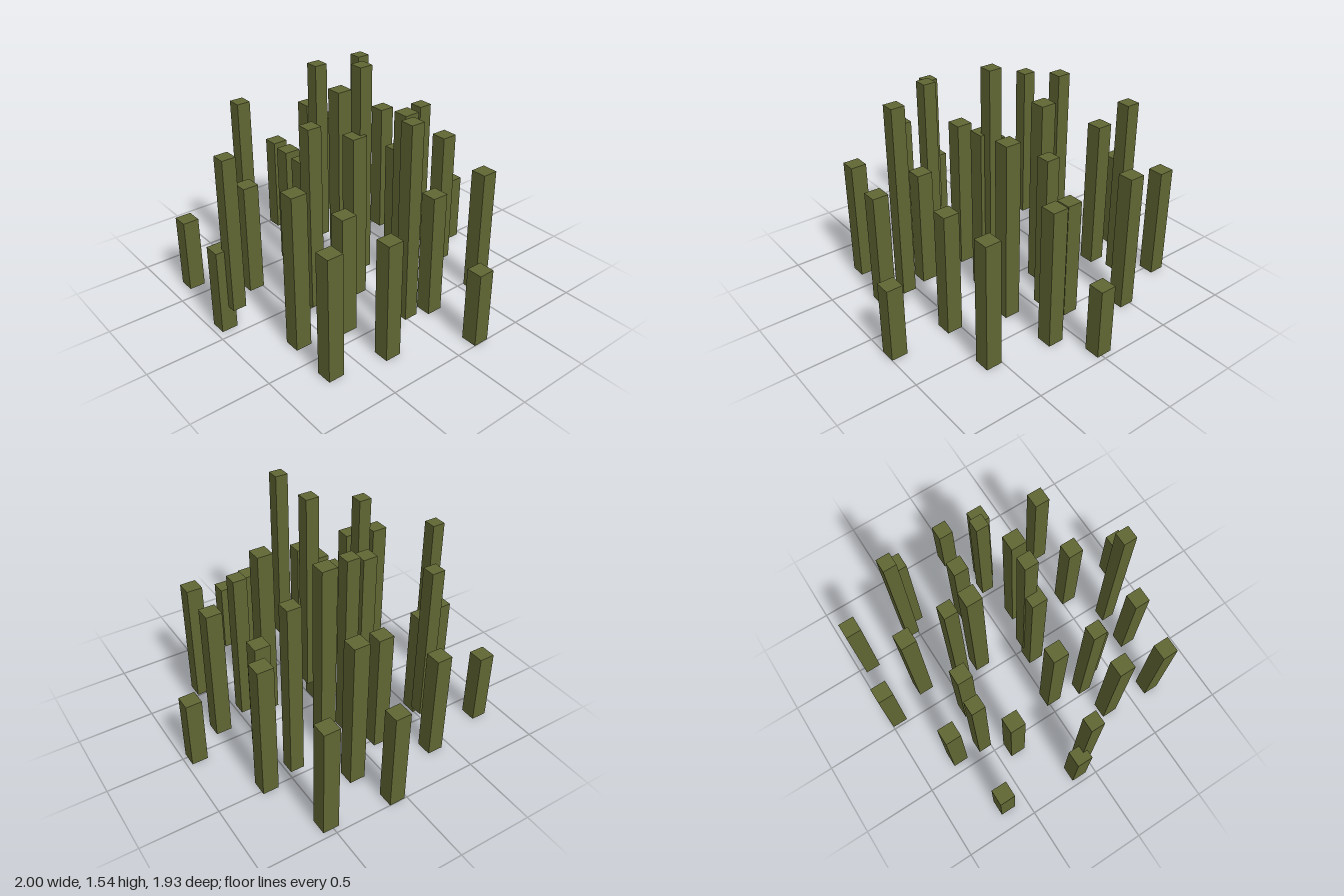
import * as THREE from 'three';

const olive = new THREE.MeshStandardMaterial({ color: 0x606633 });
olive.name = 'olive green';

// Thick stalks standing on the ground: [x, z, top]
const stalks = [
  [-0.02, -0.915, 0.47], [-0.47, -0.66, 0.93], [0.14, -0.665, 0.93],
  [-0.91, -0.515, 0.76], [-0.13, -0.495, 0.795], [0.56, -0.6, 0.85],
  [-0.675, -0.17, 1.025], [-0.947, -0.07, 0.675], [-0.247, -0.105, 1.265],
  [0.175, -0.29, 1.2], [0.547, -0.19, 0.825], [0.947, -0.19, 0.495],
  [0.098, 0.055, 1.115], [-0.49, 0.14, 0.835], [-0.733, 0.39, 0.735],
  [0.033, 0.385, 1.035], [0.368, 0.355, 0.8], [0.718, 0.31, 0.78],
  [-0.37, 0.545, 0.755], [0.315, 0.66, 1.025], [0.655, 0.68, 0.815],
  [-0.637, 0.84, 0.495], [-0.113, 0.91, 0.56],
];

// Thin, tall stalks that start above the ground: [x, z, top]
const tallStalks = [
  [-0.55, -0.515, 1.325], [0.065, -0.515, 1.16], [-0.416, -0.055, 1.4],
  [0.08, -0.01, 1.54], [0.664, 0.12, 1.415], [-0.557, 0.44, 1.225],
  [0.222, 0.472, 1.335], [-0.047, 0.863, 1.167],
];

// Adds one square post per entry
function addPosts(name, list, width, bottom) {
  const group = new THREE.Group();
  group.name = name + 's';
  list.forEach(([x, z, top], i) => {
    const post = new THREE.Mesh(new THREE.BoxGeometry(width, top - bottom, width), olive);
    post.position.set(x, (top + bottom) / 2, z);
    post.name = name + (i + 1);
    group.add(post);
  });
  return group;
}

export function createModel() {
  const model = new THREE.Group();
  model.name = 'grassClump';
  model.add(addPosts('stalk', stalks, 0.105, 0));
  model.add(addPosts('tallStalk', tallStalks, 0.088, 0.165));
  return model;
}
